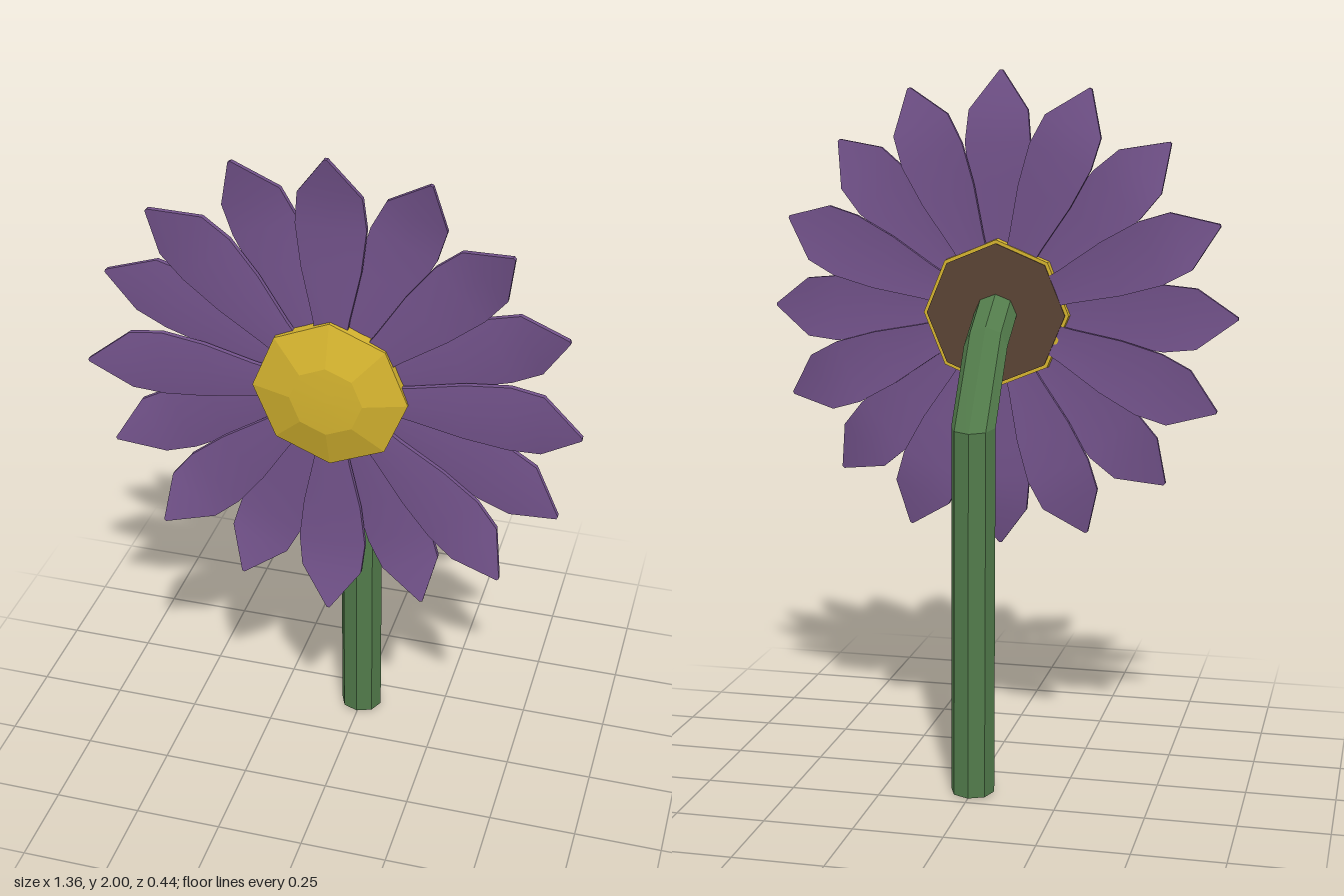
import * as THREE from 'three';
import { toCreasedNormals } from 'three/addons/utils/BufferGeometryUtils.js';

// Skins a list of equal-length point rings and caps both ends.
function loft(rings, crease) {
  const n = rings[0].length, last = rings.length - 1, index = [];
  for (let i = 0; i < last; i++) {
    for (let j = 0; j < n; j++) {
      const k = (j + 1) % n, a = i * n, b = a + n;
      index.push(a + j, a + k, b + k, a + j, b + k, b + j);
    }
  }
  for (let j = 1; j < n - 1; j++) {
    index.push(0, j + 1, j, last * n, last * n + j, last * n + j + 1);
  }
  const geometry = new THREE.BufferGeometry();
  geometry.setAttribute('position', new THREE.Float32BufferAttribute(rings.flat(2), 3));
  geometry.setIndex(index);
  return toCreasedNormals(geometry, crease);
}

// Petal pointing up +y, with a crowned front, thin edges and a forward-curled tip.
function petalGeometry() {
  const stations = [ // distance along, half width, z
    [0.10, 0.03, 0], [0.22, 0.05, 0], [0.36, 0.08, -0.003],
    [0.48, 0.094, -0.003], [0.57, 0.085, 0.006], [0.68, 0.004, 0.042],
  ];
  return loft(stations.map(([y, w, z]) => {
    const crown = w * 0.08, t = 0.007;
    return [
      [w, y, z - t], [w, y, z + t], [0, y, z + t + crown],
      [-w, y, z + t], [-w, y, z - t], [0, y, z - t + crown],
    ].reverse().map(([px, py, pz]) => [-px, py, pz]).reverse().map(([px, py, pz]) => [-px, py, pz]);
  }), 0.6);
}

// Octagonal bent stem; each section is given by its rear/upper and front/lower edge (y, z).
function stemGeometry() {
  const sections = [
    [0.005, -0.22, 0.012, -0.10],
    [1.035, -0.205, 1.055, -0.088],
    [1.30, 0.0, 1.19, 0.0],
    [1.385, 0.135, 1.27, 0.135],
  ];
  return loft(sections.map(([y0, z0, y1, z1]) => Array.from({ length: 8 }, (_, i) => {
    const a = i * Math.PI / 4, t = (1 - Math.cos(a)) / 2;
    return [-0.062 * Math.sin(a), y0 + (y1 - y0) * t, z0 + (z1 - z0) * t];
  }).reverse()), 0.15);
}

export function createModel() {
  const group = new THREE.Group();
  group.name = 'flower';
  const material = (name, color) => {
    const m = new THREE.MeshStandardMaterial({ color });
    m.name = name;
    return m;
  };
  const purple = material('petalPurple', 0x72528a);
  const yellow = material('centreYellow', 0xd4b32f);
  const green = material('stemGreen', 0x517a4a);
  const brown = material('backBrown', 0x5a4334);
  const add = (parent, name, geometry, mat) => {
    const mesh = new THREE.Mesh(geometry, mat);
    mesh.name = name;
    parent.add(mesh);
    return mesh;
  };

  add(group, 'stem', fixWinding(stemGeometry()), green);

  const head = new THREE.Group();
  head.name = 'flowerHead';
  head.position.y = 1.32;
  group.add(head);

  // Faceted flower centre
  const profile = [[0, 0], [0.21, 0], [0.213, 0.055], [0.10, 0.093], [0, 0.098]]
    .map(([r, z]) => new THREE.Vector2(r, z));
  const dome = new THREE.LatheGeometry(profile, 8);
  dome.rotateX(Math.PI / 2);
  add(head, 'centre', toCreasedNormals(dome, 0.1), yellow).position.z = 0.127;

  // Brown plate behind the centre
  const plate = new THREE.CylinderGeometry(0.2, 0.2, 0.006, 8);
  plate.rotateX(Math.PI / 2);
  add(head, 'backPlate', plate, brown).position.z = 0.125;

  // Sixteen petals in two layers, clockwise from the top, each leaning to its own tip depth
  const tipDepth = [0.2, 0.17, 0.21, 0.19, 0.215, 0.2, 0.212, 0.17,
    0.2, 0.165, 0.185, 0.14, 0.17, 0.135, 0.19, 0.165];
  const petal = fixWinding(petalGeometry());
  tipDepth.forEach((z, i) => {
    const spoke = new THREE.Group();
    spoke.name = 'petal' + (i + 1);
    spoke.rotation.z = -i * Math.PI / 8;
    const base = i % 2 ? 0.144 : 0.16;
    const mesh = add(spoke, 'petalBlade', petal, purple);
    mesh.position.z = base;
    mesh.rotation.x = (z - 0.042 - base) / 0.68;
    head.add(spoke);
  });
  return group;
}

// Turns a closed surface outward when its signed volume is negative.
function fixWinding(geometry) {
  const p = geometry.attributes.position;
  const [a, b, c] = [0, 1, 2].map(() => new THREE.Vector3());
  let volume = 0;
  for (let i = 0; i < p.count; i += 3) {
    a.fromBufferAttribute(p, i);
    b.fromBufferAttribute(p, i + 1);
    c.fromBufferAttribute(p, i + 2);
    volume += a.dot(b.cross(c));
  }
  if (volume >= 0) return geometry;
  geometry.setIndex(Array.from({ length: p.count }, (_, i) => i - (i % 3) + (2 - (i % 3))));
  const n = geometry.attributes.normal;
  for (let i = 0; i < n.count; i++) n.setXYZ(i, -n.getX(i), -n.getY(i), -n.getZ(i));
  return geometry;
}
